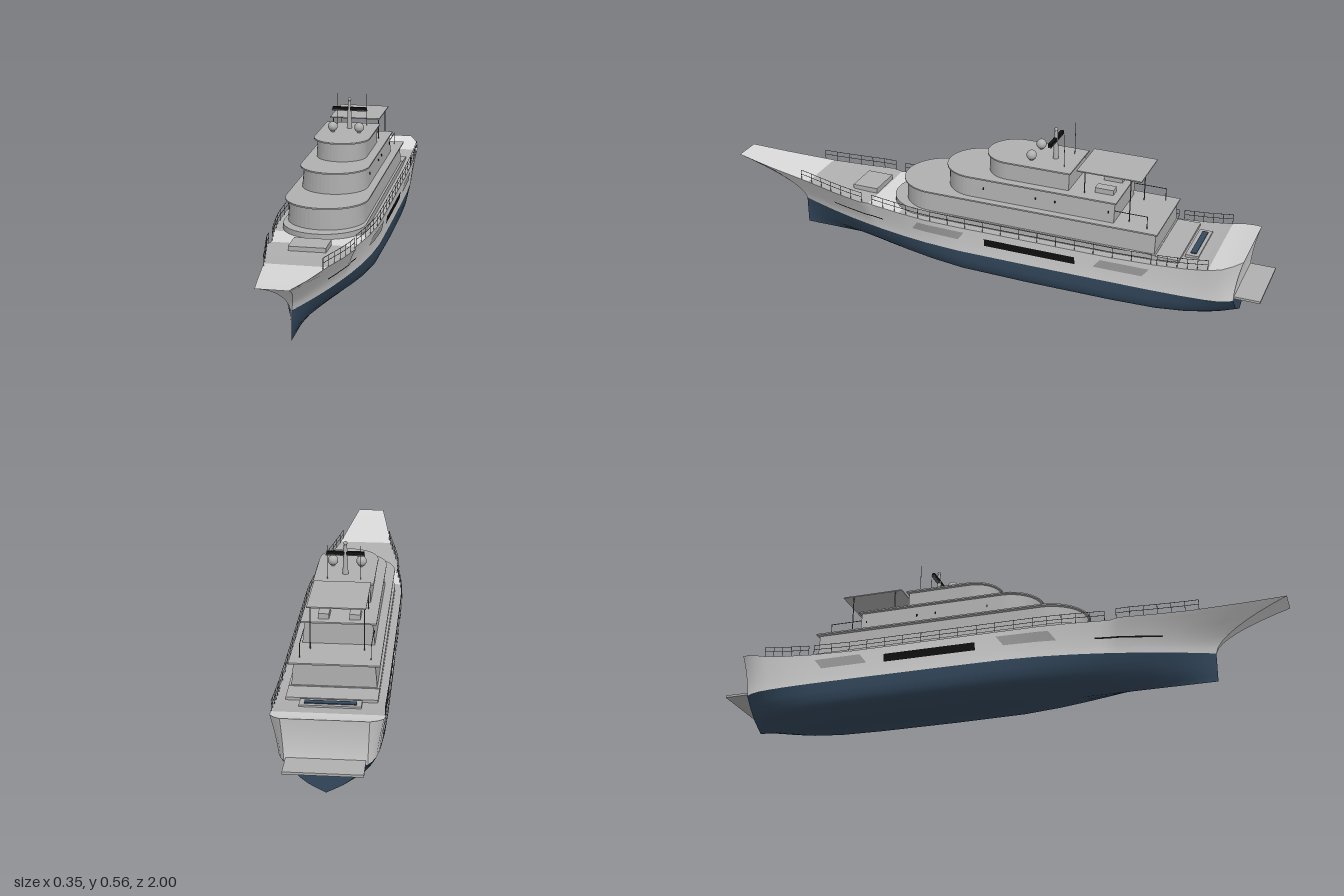
import * as THREE from 'three';

const mat = (name, color, double = false) => {
  const m = new THREE.MeshStandardMaterial({ color });
  m.name = name;
  if (double) m.side = THREE.DoubleSide;
  return m;
};

// Hull stations, bow to stern: waterline z, waterline half width, sheer z, sheer y, sheer half width, bilge fullness
const ST = [
  [0.745, 0.002, 0.995, 0.255, 0.05, 0],
  [0.70, 0.02, 0.86, 0.239, 0.073, 0.05],
  [0.61, 0.052, 0.68, 0.223, 0.1, 0.15],
  [0.52, 0.08, 0.56, 0.214, 0.126, 0.3],
  [0.43, 0.104, 0.45, 0.209, 0.147, 0.45],
  [0.40, 0.111, 0.415, 0.206, 0.14, 0.5],
  [0.375, 0.117, 0.385, 0.205, 0.146, 0.55],
  [0.28, 0.136, 0.285, 0.203, 0.161, 0.7],
  [0.18, 0.151, 0.18, 0.201, 0.172, 0.83],
  [0.05, 0.161, 0.05, 0.2, 0.174, 0.95],
  [-0.2, 0.163, -0.2, 0.2, 0.174, 1],
  [-0.5, 0.163, -0.5, 0.2, 0.174, 1],
  [-0.65, 0.162, -0.65, 0.205, 0.174, 0.95],
  [-0.75, 0.159, -0.755, 0.213, 0.174, 0.8],
  [-0.82, 0.154, -0.83, 0.223, 0.174, 0.6],
  [-0.86, 0.148, -0.875, 0.234, 0.17, 0.45],
  [-0.89, 0.138, -0.91, 0.245, 0.153, 0.3],
  [-0.912, 0.125, -0.937, 0.255, 0.132, 0.2],
];
const WL = 0.1;

// Interpolated station, looked up by column k (0 = waterline z, 2 = sheer z)
function station(z, k) {
  let i = 0;
  while (i < ST.length - 2 && ST[i + 1][k] > z) i++;
  const f = THREE.MathUtils.clamp((ST[i][k] - z) / (ST[i][k] - ST[i + 1][k]), 0, 1);
  return ST[i].map((v, j) => THREE.MathUtils.lerp(v, ST[i + 1][j], f));
}

// Flared topside point, t from waterline to sheer
function topside([zw, w, zs, ys, s], t) {
  return [w + (s - w) * Math.pow(t, 1.25), WL + (ys - WL) * t, zw + (zs - zw) * Math.pow(t, 1.7)];
}

// Underwater point, blending a V section with a round bilge
const BILGE = [[0, 0], [0.4, 0.035], [0.8, 0.12], [0.9, 0.22], [0.96, 0.4], [0.99, 0.65], [1, 1]];
function underwater([zw, w, , , , full], k) {
  const [bx, by] = BILGE[k], v = k / (BILGE.length - 1);
  return [w * THREE.MathUtils.lerp(v, bx, full), WL * THREE.MathUtils.lerp(v, by, full), zw];
}

// Surface through rows of points
function grid(rows, flip = false) {
  const n = rows[0].length, idx = [];
  for (let i = 0; i < rows.length - 1; i++) for (let j = 0; j < n - 1; j++) {
    const a = i * n + j, b = a + n, c = a + 1, d = b + 1;
    idx.push(...(flip ? [a, c, b, b, c, d] : [a, b, c, b, d, c]));
  }
  const g = new THREE.BufferGeometry();
  g.setAttribute('position', new THREE.Float32BufferAttribute(rows.flat(2), 3));
  g.setIndex(idx);
  g.computeVertexNormals();
  return g;
}
const mirrorX = (rows, side) => rows.map(r => r.map(([x, y, z]) => [x * side, y, z]));
const range = (n, fn) => Array.from({ length: n + 1 }, (_, i) => fn(i / n, i));

export function createModel() {
  const model = new THREE.Group();
  const white = mat('hullWhite', 0xd9d9d9), grey = mat('structureGrey', 0xb0b0b0);
  const navy = mat('bottomNavy', 0x34495e), black = mat('black', 0x111111, true);
  const panelGrey = mat('panelGrey', 0xa6a6a6, true), railGrey = mat('railGrey', 0x666666);

  const add = (name, geo, m, x = 0, y = 0, z = 0) => {
    const mesh = new THREE.Mesh(geo, m);
    mesh.name = name;
    mesh.position.set(x, y, z);
    model.add(mesh);
    return mesh;
  };
  const box = (name, m, w, h, d, x, y, z) => add(name, new THREE.BoxGeometry(w, h, d), m, x, y, z);
  const rod = (name, m, a, b, r) => {
    const va = new THREE.Vector3(...a), dir = new THREE.Vector3(...b).sub(va);
    const mesh = add(name, new THREE.CylinderGeometry(r, r, dir.length(), 5), m);
    mesh.position.copy(va).addScaledVector(dir, 0.5);
    mesh.quaternion.setFromUnitVectors(new THREE.Vector3(0, 1, 0), dir.normalize());
  };

  // Hull sides and bottom
  const upper = ST.map(s => range(8, t => topside(s, t)));
  const lower = ST.map(s => BILGE.map((_, k) => underwater(s, k)));
  for (const side of [1, -1]) {
    add('hullTopside', grid(mirrorX(upper, side), side < 0), white);
    add('hullBottom', grid(mirrorX(lower, side), side < 0), navy);
  }
  // Stem panel and transom
  const across = col => col.map(([x, y, z]) => [[x, y, z], [-x, y, z]]);
  add('stemPanel', grid(across(upper[0])), white);
  add('transom', grid(across(upper.at(-1)), true), white);
  add('lowerTransom', grid(across(lower.at(-1)), true), navy);

  // Decks: the bow, the step and the stern are painted like the hull
  for (const [name, a, b, m] of [['bowDeck', 0, 2, white], ['foredeck', 2, 5, grey], ['deckStep', 5, 7, white],
    ['mainDeck', 7, 14, grey], ['sternDeck', 14, 17, white]]) {
    add(name, grid(ST.slice(a, b + 1).map(([, , z, y, x]) => [[x, y, z], [-x, y, z]])), m);
  }

  // Painted strips that follow the hull side; ends are slanted by taper
  function strip(name, m, z0, z1, y0, y1, taper = 0) {
    for (const side of [1, -1]) {
      const rows = range(14, u => [0, 0.5, 1].map(v => {
        const a = z0 - taper * v, b = z1 + taper * (1 - v);
        const s = station(a + (b - a) * u, 0);
        const [x, y, z] = topside(s, (y0 + (y1 - y0) * v - WL) / (s[3] - WL));
        return [side * (x + 0.002), y, z];
      }));
      add(name, grid(rows, side < 0), m);
    }
  }
  strip('hullWindow', black, -0.045, -0.375, 0.145, 0.173);
  strip('bowStripe', black, 0.57, 0.36, 0.147, 0.152);
  strip('forwardPanel', panelGrey, 0.235, 0.03, 0.15, 0.183, 0.025);
  strip('aftPanel', panelGrey, -0.44, -0.635, 0.15, 0.183, 0.025);

  // Round-fronted superstructure block
  function tier(name, m, w, front, back, y0, y1, taper = 1) {
    const s = new THREE.Shape();
    s.moveTo(w, -back);
    s.lineTo(-w, -back);
    s.lineTo(-w, w - front);
    s.absarc(0, w - front, w, Math.PI, 2 * Math.PI, false);
    const g = new THREE.ExtrudeGeometry(s, { depth: y1 - y0, bevelEnabled: false, curveSegments: 12 });
    g.rotateX(-Math.PI / 2);
    const p = g.attributes.position;
    for (let i = 0; i < p.count; i++) if (p.getY(i) > 1e-4) p.setX(i, p.getX(i) * taper);
    g.computeVertexNormals();
    add(name, g, m, 0, y0, 0);
  }
  tier('lowerPlinth', grey, 0.142, 0.357, -0.645, 0.195, 0.222);
  tier('lowerHouse', grey, 0.136, 0.31, -0.64, 0.2, 0.294, 0.94);
  tier('lowerRoof', grey, 0.143, 0.318, -0.648, 0.294, 0.299);
  tier('middleHouse', grey, 0.116, 0.145, -0.49, 0.299, 0.37, 0.94);
  tier('middleRoof', grey, 0.121, 0.153, -0.497, 0.37, 0.375);
  tier('upperHouse', grey, 0.09, -0.005, -0.32, 0.375, 0.438, 0.97);
  tier('upperRoof', grey, 0.1, 0.002, -0.327, 0.438, 0.443);
  box('aftStep', grey, 0.284, 0.018, 0.08, 0, 0.211, -0.685);
  box('aftBench', grey, 0.19, 0.01, 0.045, 0, 0.217, -0.757);
  box('aftPool', navy, 0.16, 0.004, 0.02, 0, 0.223, -0.758);
  box('sternPlatform', grey, 0.24, 0.008, 0.105, 0, 0.11, -0.9475);
  box('foredeckHatch', grey, 0.124, 0.018, 0.095, 0, 0.218, 0.465);

  // Canopy over the upper aft deck
  box('canopy', grey, 0.186, 0.004, 0.225, 0, 0.455, -0.46);
  for (const side of [1, -1]) {
    for (const z of [-0.375, -0.535]) rod('canopyPost', railGrey, [side * 0.086, z < -0.5 ? 0.299 : 0.373, z], [side * 0.086, 0.455, z], 0.0018);
    box('deckLocker', grey, 0.035, 0.018, 0.065, side * 0.05, 0.384, -0.438);
    for (const z of [-0.02, -0.21, -0.28, -0.47]) box('wallLight', black, 0.004, 0.008, 0.004, side * 0.113, 0.335, z);
    // Aft balcony rail
    rod('balconyRail', railGrey, [side * 0.112, 0.343, -0.49], [side * 0.112, 0.343, -0.605], 0.0014);
    rod('balconyPost', railGrey, [side * 0.112, 0.299, -0.604], [side * 0.112, 0.343, -0.604], 0.0014);

    // Domes and whip antennas
    add('radarDome', new THREE.SphereGeometry(0.0175, 20, 14), grey, side * 0.048, 0.463, -0.17);
    rod('domeFoot', grey, [side * 0.048, 0.44, -0.17], [side * 0.048, 0.455, -0.17], 0.006);
    rod('whipAntenna', railGrey, [side * 0.055, 0.443, -0.29], [side * 0.055, 0.56, -0.29], 0.001);
  }

  // Mast with radar bar
  add('mast', new THREE.CylinderGeometry(0.0055, 0.01, 0.105, 12), grey, 0, 0.4925, -0.24);
  add('mastBall', new THREE.SphereGeometry(0.0065, 12, 8), grey, 0, 0.55, -0.24);
  box('mastSpreader', railGrey, 0.13, 0.003, 0.012, 0, 0.509, -0.24);
  box('radarBar', black, 0.124, 0.01, 0.012, 0, 0.516, -0.24);

  // Side rails along the sheer
  for (const side of [1, -1]) for (const [z0, z1, n] of [[0.71, 0.44, 6], [0.4, 0.16, 5], [0.16, -0.64, 12], [-0.66, -0.83, 5]]) {
    const pts = range(n, u => {
      const s = station(z0 + (z1 - z0) * u, 2);
      return [side * (s[4] - 0.003), s[3], s[2]];
    });
    pts.forEach(([x, y, z], i) => {
      rod('railPost', railGrey, [x, y - 0.003, z], [x, y + 0.036, z], 0.001);
      if (i) for (const h of [0.02, 0.036]) {
        const q = pts[i - 1];
        rod('rail', railGrey, [q[0], q[1] + h, q[2]], [x, y + h, z], 0.001);
      }
    });
  }
  return model;
}
